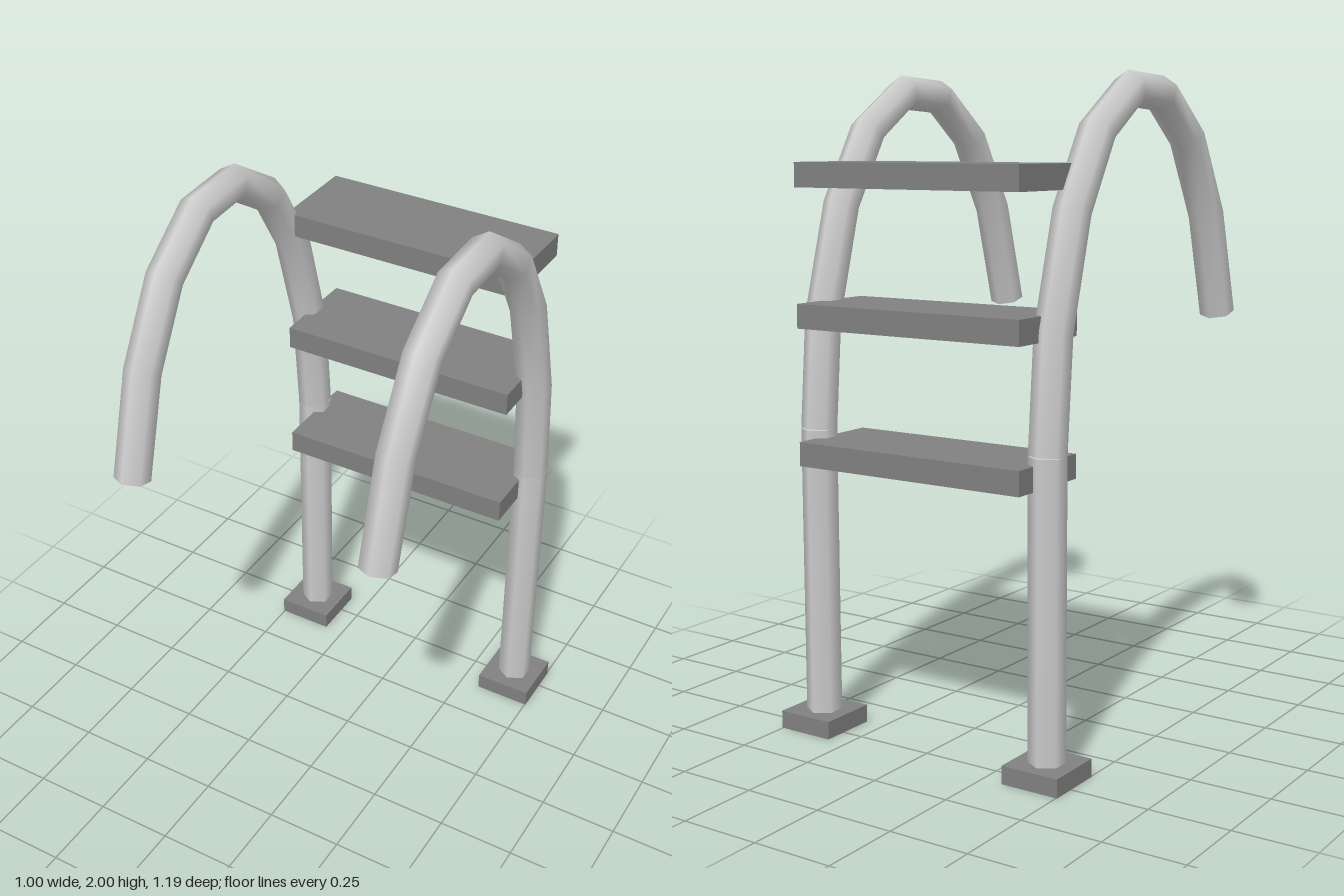
import * as THREE from 'three';

const RADIUS = 0.055, SIDES = 6;
const RAIL_X = 0.41, POST_Z = -0.48, POST_TOP = 0.94;

// Centreline of the bent handrail, as [y, z], from post top to free end
const ARCH = [
  [0.94, -0.48], [1.28, -0.452], [1.61, -0.358], [1.83, -0.225], [1.95, -0.04],
  [1.94, 0.143], [1.807, 0.318], [1.57, 0.453], [1.25, 0.543],
];

// Spline sampled at its control points, with the section turned so an edge runs along the outside
class ArchCurve extends THREE.CatmullRomCurve3 {
  getPointAt(u, target) { return this.getPoint(u, target); }
  getTangentAt(u, target) { return this.getTangent(u, target); }
  computeFrenetFrames(segments, closed) {
    const f = super.computeFrenetFrames(segments, closed);
    return { tangents: f.tangents, normals: f.binormals, binormals: f.normals.map((n) => n.clone().negate()) };
  }
}

export function createModel() {
  const model = new THREE.Group();
  const metal = new THREE.MeshStandardMaterial({ color: 0xcccccc });
  const dark = new THREE.MeshStandardMaterial({ color: 0x808080 });

  const add = (name, geometry, material, x, y, z, parent = model) => {
    const mesh = new THREE.Mesh(geometry, material);
    mesh.name = name;
    mesh.position.set(x, y, z);
    parent.add(mesh);
    return mesh;
  };

  const curve = new ArchCurve(ARCH.map(([y, z]) => new THREE.Vector3(0, y, z)));
  const archGeometry = new THREE.TubeGeometry(curve, ARCH.length - 1, RADIUS, SIDES);
  const postGeometry = new THREE.CylinderGeometry(RADIUS, RADIUS, POST_TOP - 0.02, SIDES);
  const footGeometry = new THREE.BoxGeometry(0.185, 0.055, 0.187);
  const capGeometry = new THREE.CircleGeometry(RADIUS, SIDES, Math.PI / 2);
  const end = curve.getPoint(1), endDirection = curve.getTangent(1);

  // Two rails, each with a foot, a straight post and an arched handrail
  for (const [side, x] of [['left', RAIL_X], ['right', -RAIL_X]]) {
    const rail = new THREE.Group();
    rail.name = side + 'Rail';
    rail.position.x = x;
    model.add(rail);
    add(side + 'Foot', footGeometry, dark, 0, 0.0275, POST_Z, rail);
    add(side + 'Post', postGeometry, metal, 0, 0.02 + (POST_TOP - 0.02) / 2, POST_Z, rail);
    add(side + 'Handrail', archGeometry, metal, 0, 0, 0, rail);
    const cap = add(side + 'HandrailEnd', capGeometry, metal, 0, end.y, end.z, rail);
    cap.rotation.x = Math.atan2(-endDirection.y, endDirection.z);
  }

  // Three level steps
  const stepGeometry = new THREE.BoxGeometry(0.78, 0.073, 0.297);
  [0.88, 1.292, 1.704].forEach((y, i) => add('step' + (i + 1), stepGeometry, dark, 0, y, -0.445));

  return model;
}
